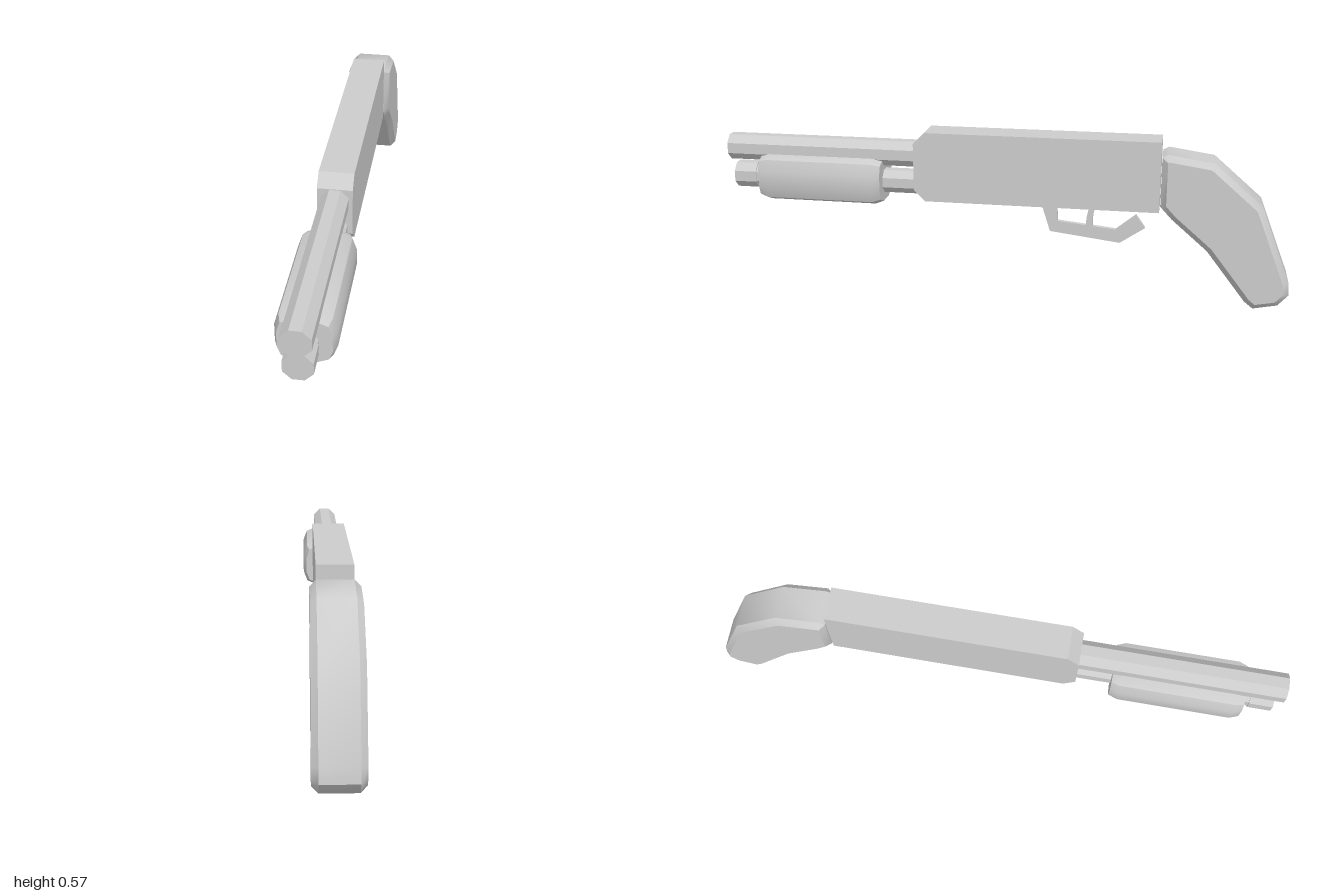
import * as THREE from 'three';
import { toCreasedNormals } from 'three/addons/utils/BufferGeometryUtils.js';

export function createModel() {
  const model = new THREE.Group();
  const grey = new THREE.MeshStandardMaterial({ color: 0xcccccc });
  grey.name = 'grey';

  const add = (name, geometry) => {
    const mesh = new THREE.Mesh(geometry, grey);
    mesh.name = name;
    model.add(mesh);
  };

  // Extrudes an outline centred on its depth axis, with the bevel cut inside it
  const prism = (points, depth, bevelSize = 0, bevelThickness = bevelSize) => {
    const shape = new THREE.Shape(points.map(([a, b]) => new THREE.Vector2(a, b)));
    const body = depth - 2 * bevelThickness;
    const geometry = new THREE.ExtrudeGeometry(shape, {
      depth: body, bevelEnabled: bevelSize > 0, bevelSegments: 1,
      bevelSize, bevelThickness, bevelOffset: -bevelSize,
    });
    return geometry.translate(0, 0, -body / 2);
  };

  // Side profile given as [z, y], extruded across x
  const sideProfile = (points, width, bevel) => prism(points, width, bevel).rotateY(-Math.PI / 2);

  // Eight-sided rod along z with flats on top and sides
  const rod = (name, y, z0, z1, apothem) => {
    const r = apothem / Math.cos(Math.PI / 8);
    const geometry = new THREE.CylinderGeometry(r, r, z1 - z0, 8)
      .rotateY(Math.PI / 8).rotateX(Math.PI / 2).translate(0, y, (z0 + z1) / 2);
    add(name, toCreasedNormals(geometry, 0.5));
  };

  // Receiver with chamfered front corners
  add('receiver', sideProfile([
    [-0.547, 0.33], [0.27, 0.33], [0.31, 0.37], [0.31, 0.537], [0.27, 0.577], [-0.547, 0.577],
  ], 0.116));

  // Barrel and magazine tube
  rod('barrel', 0.489, 0.3, 1, 0.045);
  rod('magazineTube', 0.386, 0.3, 0.92, 0.041);
  rod('magazineCap', 0.386, 0.9, 0.98, 0.045);

  // Pump: mirrored cross-section with tapered ends
  const half = [[0.035, 0.305], [0.078, 0.323], [0.092, 0.36], [0.092, 0.42], [0.078, 0.46], [0.04, 0.475]];
  const section = [...half, ...half.map(([x, y]) => [-x, y]).reverse()];
  const pump = prism(section, 0.447, 0.011, 0.03).translate(0, 0, 0.652);
  add('pump', toCreasedNormals(pump, 0.7));

  // Grip with a wide bevel around both cheeks
  const grip = sideProfile([
    [-0.55, 0.353], [-0.59, 0.31], [-0.714, 0.203], [-0.85, 0.027], [-0.88, 0.003],
    [-0.962, 0.02], [-0.998, 0.06], [-0.993, 0.107], [-0.89, 0.37], [-0.725, 0.513],
    [-0.57, 0.536], [-0.55, 0.525],
  ].reverse(), 0.156, 0.02);
  add('grip', toCreasedNormals(grip, 0.7));

  // Trigger guard and trigger
  add('triggerGuard', sideProfile([
    [-0.134, 0.335], [-0.168, 0.228], [-0.414, 0.198], [-0.5, 0.257],
    [-0.468, 0.302], [-0.4, 0.246], [-0.195, 0.267], [-0.19, 0.335],
  ], 0.017));
  add('trigger', sideProfile([
    [-0.307, 0.335], [-0.328, 0.335], [-0.318, 0.29], [-0.318, 0.25], [-0.293, 0.252], [-0.297, 0.288],
  ], 0.023));

  return model;
}
